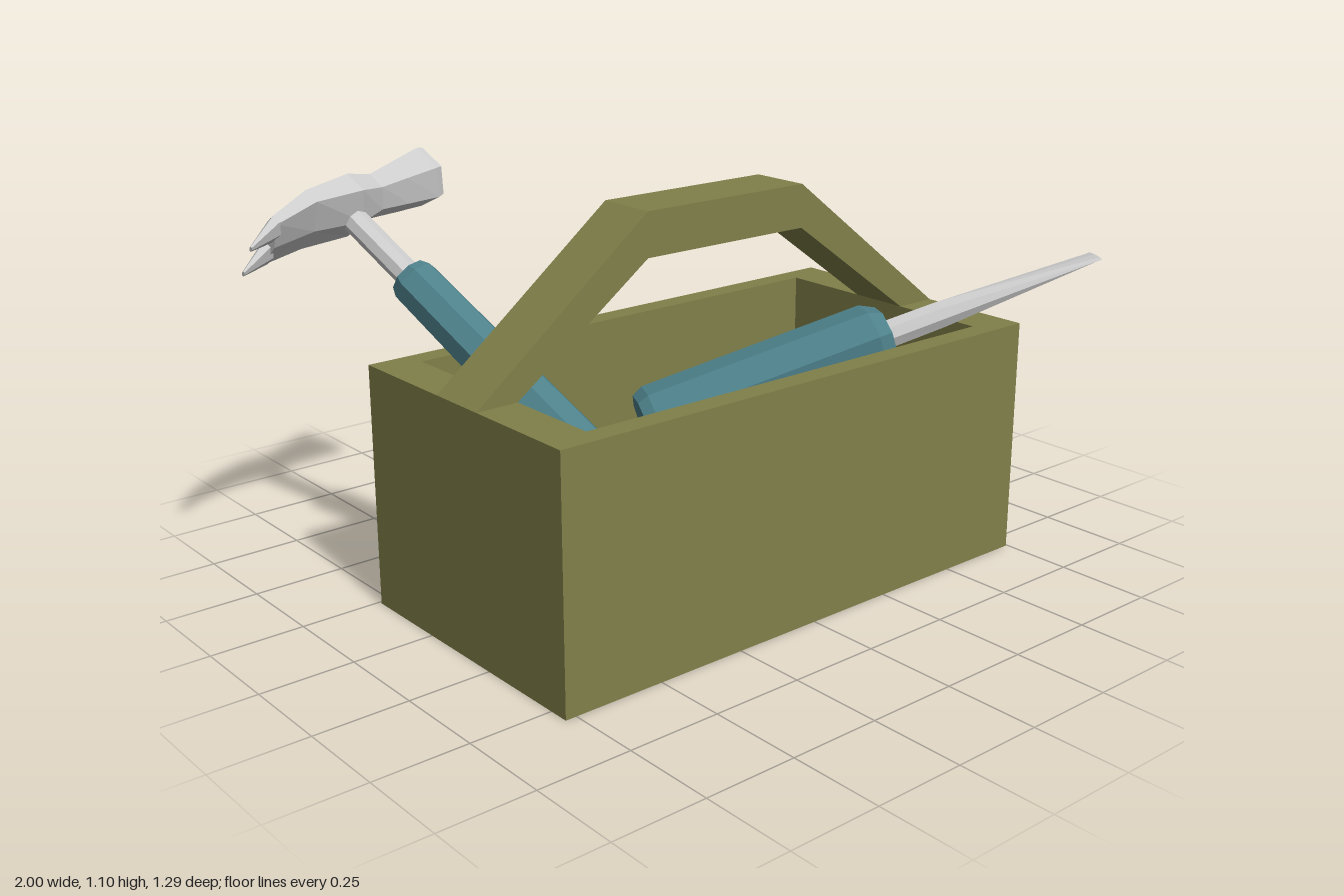
import * as THREE from 'three';

const OLIVE = 0x80804a, TEAL = 0x4d808a, GREY = 0xcccccc;

function mesh(name, geometry, color) {
  const material = new THREE.MeshStandardMaterial({ color, flatShading: true });
  const m = new THREE.Mesh(geometry, material);
  m.name = name;
  return m;
}

// Faceted solid along +y; each section is [y, radiusX, radiusZ, offsetX, offsetZ]
function loft(sections, sides = 8, phase = 0) {
  const pos = [], index = [], n = sections.length;
  const centre = ([y, , , ox = 0, oz = 0]) => pos.push(ox, y, oz);
  for (const [y, rx, rz, ox = 0, oz = 0] of sections) {
    for (let j = 0; j < sides; j++) {
      const t = ((j + phase) / sides) * Math.PI * 2;
      pos.push(ox + rx * Math.cos(t), y, oz + rz * Math.sin(t));
    }
  }
  centre(sections[0]);
  centre(sections[n - 1]);
  const bottom = n * sides, top = bottom + 1, last = (n - 1) * sides;
  for (let j = 0; j < sides; j++) {
    const k = (j + 1) % sides;
    for (let i = 0; i < n - 1; i++) {
      const a = i * sides + j, b = i * sides + k;
      index.push(a, a + sides, b, b, a + sides, b + sides);
    }
    index.push(bottom, j, k, top, last + k, last + j);
  }
  const g = new THREE.BufferGeometry();
  g.setAttribute('position', new THREE.Float32BufferAttribute(pos, 3));
  g.setIndex(index);
  const flat = g.toNonIndexed();
  flat.computeVertexNormals();
  return flat;
}

// Stand a tool at a point, its +y along axis and its +x as near side as possible
function place(group, origin, axis, side) {
  const y = axis.clone().normalize();
  const x = side.clone().addScaledVector(y, -side.dot(y)).normalize();
  const z = new THREE.Vector3().crossVectors(x, y);
  group.quaternion.setFromRotationMatrix(new THREE.Matrix4().makeBasis(x, y, z));
  group.position.copy(origin);
  return group;
}

const polygon = (points) => points.map(([x, y]) => new THREE.Vector2(x, y));
const rect = (x0, x1, y0, y1) => polygon([[x0, y0], [x1, y0], [x1, y1], [x0, y1]]);

function createBox() {
  const box = new THREE.Group();
  box.name = 'toolbox';

  // Four walls as one upright frame
  const frame = new THREE.Shape(rect(-0.78, 0.745, -0.555, 0.24));
  frame.holes.push(new THREE.Path(rect(-0.665, 0.625, -0.495, 0.18)));
  const walls = new THREE.ExtrudeGeometry(frame, { depth: 0.645, bevelEnabled: false });
  walls.rotateX(-Math.PI / 2);
  box.add(mesh('walls', walls, OLIVE));

  // Raised floor between the walls
  const floor = mesh('floor', new THREE.BoxGeometry(1.29, 0.3, 0.675), OLIVE);
  floor.position.set(-0.02, 0.15, 0.1575);
  box.add(floor);

  // Trapezoid carrying handle
  const arch = new THREE.Shape(polygon([
    [-0.78, 0.645], [-0.665, 0.645], [-0.275, 0.925], [0.235, 0.925],
    [0.625, 0.645], [0.745, 0.645], [0.235, 1.04], [-0.275, 1.04],
  ]));
  const handle = new THREE.ExtrudeGeometry(arch, { depth: 0.165, bevelEnabled: false });
  handle.translate(0, 0, 0.07);
  box.add(mesh('carryHandle', handle, OLIVE));
  return box;
}

function createHammer() {
  const hammer = new THREE.Group();
  hammer.name = 'hammer';
  hammer.add(mesh('hammerGrip', loft([
    [0, 0.06, 0.06], [0.03, 0.073, 0.073], [0.79, 0.064, 0.064], [0.815, 0.052, 0.052],
  ], 8, 0.5), TEAL));
  hammer.add(mesh('hammerShaft', loft([[0.8, 0.034, 0.034], [1.08, 0.034, 0.034]]), GREY));

  // Head runs along local x: claw at -x, striking face at +x
  const head = new THREE.Group();
  head.name = 'hammerHead';
  head.add(mesh('headBody', loft([
    [-0.27, 0.026, 0.082, 0.012], [-0.14, 0.045, 0.098, -0.008], [0, 0.065, 0.098],
    [0.08, 0.052, 0.066], [0.16, 0.066, 0.074], [0.255, 0.082, 0.082], [0.275, 0.078, 0.078],
  ], 6), GREY));
  for (const s of [-1, 1]) {
    head.add(mesh('claw', loft([
      [-0.36, 0.005, 0.008, 0.045, s * 0.044], [-0.26, 0.026, 0.041, 0.011, s * 0.041],
    ], 6), GREY));
  }
  head.rotation.z = -Math.PI / 2;
  head.position.set(0.017, 1.08, 0);
  hammer.add(head);
  return place(hammer, new THREE.Vector3(-0.42, 0.37, 0.335),
    new THREE.Vector3(-0.19, 0.46, -0.645), new THREE.Vector3(0.615, 0.11, -0.15));
}

function createScrewdriver() {
  const driver = new THREE.Group();
  driver.name = 'screwdriver';
  driver.add(mesh('screwdriverGrip', loft([
    [0, 0.085, 0.085], [0.03, 0.1, 0.1], [0.65, 0.1, 0.1], [0.69, 0.08, 0.08],
  ], 8, 0.5), TEAL));
  // Round shaft flattening to a blade
  driver.add(mesh('screwdriverBlade', loft([
    [0.67, 0.04, 0.04], [0.85, 0.04, 0.038], [1.315, 0.04, 0.006],
  ]), GREY));
  return place(driver, new THREE.Vector3(-0.145, 0.42, 0.055),
    new THREE.Vector3(1.13, 0.38, 0.55), new THREE.Vector3(0.44, 0, -0.9));
}

export function createModel() {
  const model = new THREE.Group();
  model.name = 'toolboxWithTools';
  model.add(createBox(), createHammer(), createScrewdriver());
  return model;
}
